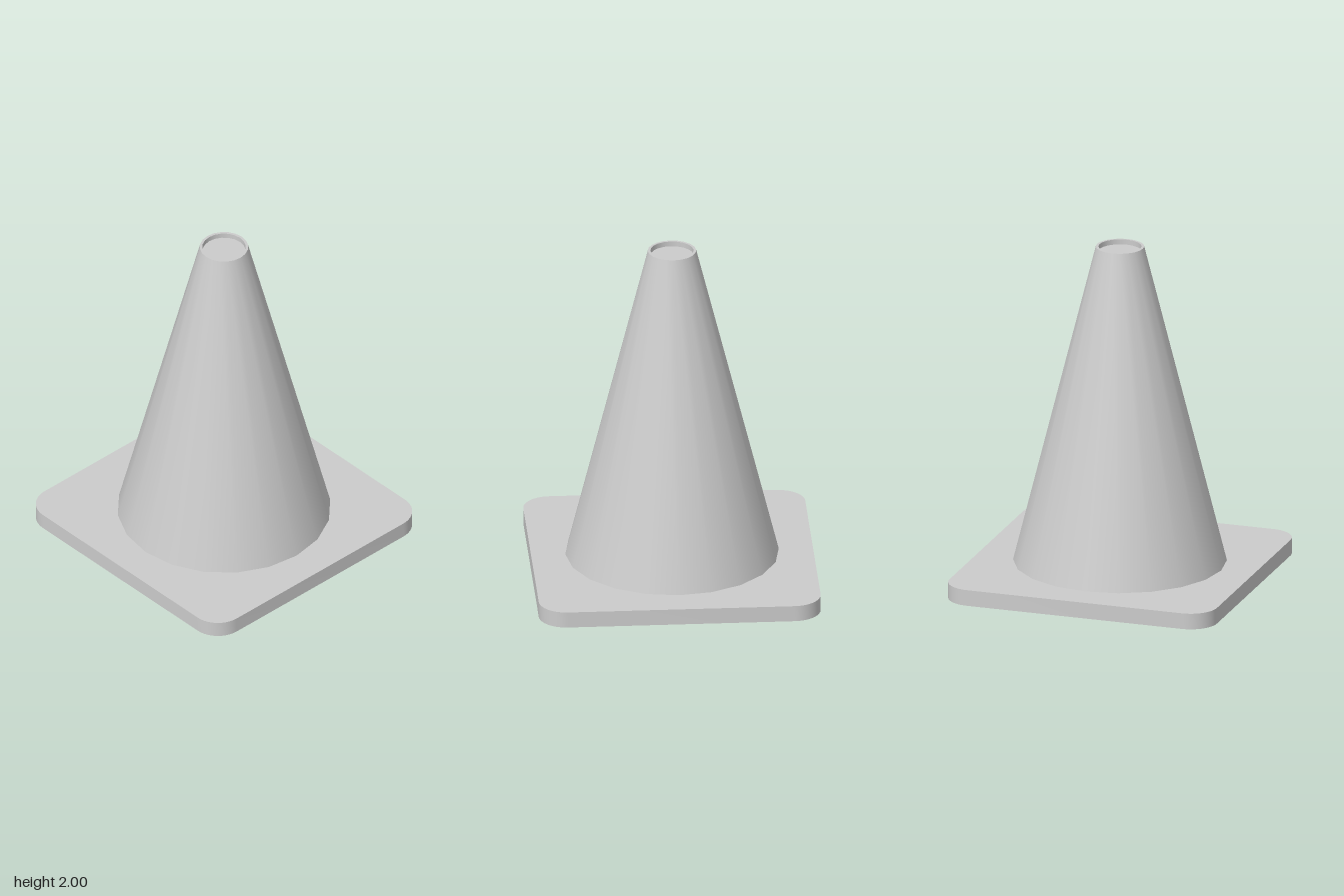
import * as THREE from 'three';
import { mergeGeometries, toCreasedNormals } from 'three/addons/utils/BufferGeometryUtils.js';

const BASE_HALF = 0.815, BASE_HEIGHT = 0.095, CORNER = 0.16, SIDES = 20;

// Square plate with rounded corners, lying flat on the ground
function baseGeometry() {
  const h = BASE_HALF, c = BASE_HALF - CORNER;
  const shape = new THREE.Shape();
  shape.moveTo(h, -c);
  shape.absarc(c, c, CORNER, 0, Math.PI / 2);
  shape.absarc(-c, c, CORNER, Math.PI / 2, Math.PI);
  shape.absarc(-c, -c, CORNER, Math.PI, Math.PI * 1.5);
  shape.absarc(c, -c, CORNER, Math.PI * 1.5, Math.PI * 2);
  const geometry = new THREE.ExtrudeGeometry(shape, {
    depth: BASE_HEIGHT, bevelEnabled: false, curveSegments: 8,
  });
  geometry.rotateX(-Math.PI / 2);
  return toCreasedNormals(geometry, 0.6);
}

// Each profile segment is turned separately, so the rim edges stay sharp
function turned(profile) {
  const bands = profile.slice(1).map((point, i) => new THREE.LatheGeometry(
    [new THREE.Vector2(...profile[i]), new THREE.Vector2(...point)], SIDES));
  return mergeGeometries(bands);
}

export function createModel() {
  const model = new THREE.Group();
  model.name = 'trafficCone';
  const material = new THREE.MeshStandardMaterial({ color: 0xcccccc });

  const add = (name, geometry) => {
    const mesh = new THREE.Mesh(geometry, material);
    mesh.name = name;
    model.add(mesh);
  };

  add('base', baseGeometry());

  // Tapered body
  add('coneBody', turned([[0.617, BASE_HEIGHT], [0.14, 2]]));

  // Thin rim around a shallow recess in the tip
  add('tipRecess', turned([[0.14, 2], [0.125, 2], [0.125, 1.97], [0, 1.97]]));

  return model;
}
